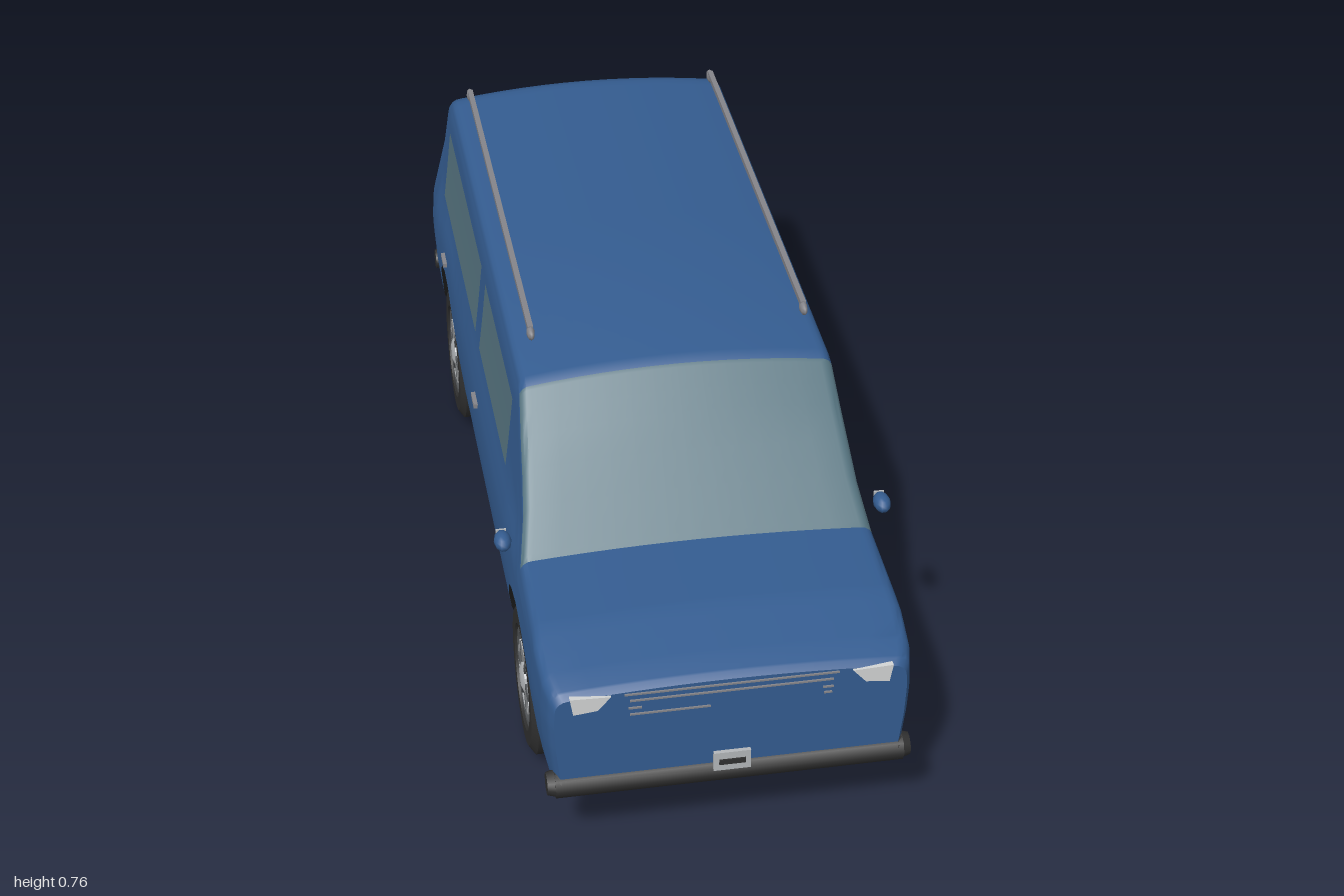
import * as THREE from 'three';
import { toCreasedNormals } from 'three/addons/utils/BufferGeometryUtils.js';

const mat = (name, color, extra = {}) => Object.assign(new THREE.MeshStandardMaterial({ color, ...extra }), { name });

// Piecewise linear lookup in a table of [key, value], keys ascending
function lerpTable(table, k) {
  if (k <= table[0][0]) return table[0][1];
  for (let i = 1; i < table.length; i++) {
    const [k0, v0] = table[i - 1], [k1, v1] = table[i];
    if (k <= k1) return v0 + (v1 - v0) * (k - k0) / (k1 - k0);
  }
  return table[table.length - 1][1];
}

// Body curves: half width by height; roof line, underside and end taper by z
const WIDTH = [[0.13, 0.327], [0.2, 0.342], [0.27, 0.35], [0.33, 0.353], [0.4, 0.349], [0.43, 0.342],
  [0.46, 0.332], [0.55, 0.321], [0.67, 0.308], [0.72, 0.3]];
const TOP = [[-0.93, 0.395], [-0.915, 0.415], [-0.87, 0.445], [-0.79, 0.695], [-0.775, 0.708], [-0.75, 0.715],
  [0.37, 0.715], [0.395, 0.707], [0.63, 0.458], [0.81, 0.448], [0.93, 0.422], [0.97, 0.41], [0.98, 0.4]];
const UNDER = [[-0.93, 0.18], [-0.89, 0.157], [-0.82, 0.15], [-0.775, 0.165], [-0.73, 0.21], [-0.69, 0.295], [-0.65, 0.332],
  [-0.6, 0.347], [-0.54, 0.345], [-0.48, 0.33], [-0.42, 0.295], [-0.37, 0.247], [-0.32, 0.2], [-0.27, 0.167], [-0.22, 0.145],
  [-0.155, 0.135], [0.37, 0.135], [0.4, 0.145], [0.43, 0.185], [0.46, 0.24], [0.51, 0.305], [0.56, 0.333], [0.62, 0.342],
  [0.69, 0.336], [0.755, 0.31], [0.8, 0.277], [0.84, 0.235], [0.88, 0.183], [0.92, 0.16], [0.955, 0.167], [0.98, 0.2]];
const TAPER = [[-0.93, 0.94], [-0.915, 0.965], [-0.87, 0.99], [-0.79, 1], [0.85, 1], [0.93, 0.985], [0.965, 0.96], [0.98, 0.935]];

const SIDE = 14, ARC = 4, CROWN = 6;

// Closed cross-section, from the lower left edge over the roof to the lower right edge
function section(z) {
  const yb = lerpTable(UNDER, z), yt = lerpTable(TOP, z), k = lerpTable(TAPER, z);
  const drop = yt > 0.6 ? 0.02 : 0.012, r = 0.025;
  const ys = yt - drop - r, xs = lerpTable(WIDTH, ys) * k;
  const half = [];
  for (let i = 0; i < SIDE; i++) {
    const y = yb + (ys - yb) * i / SIDE;
    half.push([lerpTable(WIDTH, y) * k, y]);
  }
  for (let i = 0; i < ARC; i++) {
    const a = i / ARC * Math.PI / 2;
    half.push([xs - r + r * Math.cos(a), ys + r * Math.sin(a)]);
  }
  for (let i = 0; i <= CROWN; i++) {
    const t = 1 - i / CROWN;
    half.push([(xs - r) * t, yt - drop * t * t]);
  }
  return [...half, ...half.slice(0, -1).reverse().map(([x, y]) => [-x, y])];
}

// Lofted shell with painted body, glass screens and dark floor as material groups
function bodyGeometry() {
  const keys = [...TOP, ...UNDER, ...TAPER].map(p => p[0]);
  const zs = [...new Set(keys)].sort((a, b) => b - a);
  const pos = [], paint = [], glass = [], floor = [];
  const n = section(0).length;
  zs.forEach(z => section(z).forEach(([x, y]) => pos.push(x, y, z)));
  for (let s = 0; s < zs.length - 1; s++) {
    const mid = (zs[s] + zs[s + 1]) / 2;
    const screen = (mid > 0.395 && mid < 0.63) || (mid > -0.87 && mid < -0.79);
    for (let i = 0; i < n; i++) {
      const j = (i + 1) % n, a = s * n + i, b = s * n + j, c = a + n, d = b + n;
      const upper = i >= SIDE + 1 && i < n - SIDE - 2;
      const list = i === n - 1 ? floor : screen && upper ? glass : paint;
      list.push(a, c, b, b, c, d);
    }
  }
  // End caps
  [[0, 1], [zs.length - 1, -1]].forEach(([s, dir]) => {
    const centre = pos.length / 3;
    pos.push(0, 0.3, zs[s]);
    for (let i = 0; i < n; i++) {
      const a = s * n + i, b = s * n + (i + 1) % n;
      paint.push(centre, ...(dir > 0 ? [a, b] : [b, a]));
    }
  });
  const g = new THREE.BufferGeometry();
  g.setAttribute('position', new THREE.Float32BufferAttribute(pos, 3));
  g.setIndex([...paint, ...glass, ...floor]);
  g.addGroup(0, paint.length, 0);
  g.addGroup(paint.length, glass.length, 1);
  g.addGroup(paint.length + glass.length, floor.length, 2);
  return toCreasedNormals(g, 0.6);
}

// Thin pane that follows the side of the body
function paneGeometry(z0, z1, y0, y1, side) {
  const g = new THREE.PlaneGeometry(1, 1, 1, 8), p = g.attributes.position;
  for (let i = 0; i < p.count; i++) {
    const y = y0 + (p.getY(i) + 0.5) * (y1 - y0);
    p.setXYZ(i, side * (lerpTable(WIDTH, y) + 0.004), y, z0 + (0.5 - side * p.getX(i)) * (z1 - z0));
  }
  g.computeVertexNormals();
  return g;
}

const lathe = (pts, segs = 32) =>
  toCreasedNormals(new THREE.LatheGeometry(pts.map(p => new THREE.Vector2(...p)), segs), 0.5);

export function createModel() {
  const paint = mat('blue paint', 0x345c90), glass = mat('window glass', 0x567480, { side: THREE.DoubleSide });
  const rubber = mat('black rubber', 0x303030), floor = mat('underbody', 0x262626);
  const chrome = mat('chrome', 0xb4b7ba), rim = mat('rim grey', 0x54575a), lamp = mat('lamp', 0xd2d4d4);
  const rail = mat('rail grey', 0x85858a);
  const car = new THREE.Group();
  car.name = 'car';

  function add(name, geo, material, x = 0, y = 0, z = 0, parent = car) {
    const m = new THREE.Mesh(geo, material);
    m.name = name;
    m.position.set(x, y, z);
    parent.add(m);
    return m;
  }
  const box = (name, w, h, d, material, x, y, z, parent) =>
    add(name, new THREE.BoxGeometry(w, h, d), material, x, y, z, parent);

  add('body', bodyGeometry(), [paint, glass, floor]);

  // Wheels: axis along x, outer face towards +x before turning
  const tyre = lathe([[0, -0.03], [0.1, -0.03], [0.105, -0.042], [0.135, -0.042], [0.153, -0.03],
    [0.153, 0.03], [0.135, 0.042], [0.106, 0.042], [0.1, 0.03], [0, 0.03]], 36);
  const disc = lathe([[0.1, 0.029], [0.098, 0.038], [0.088, 0.038], [0.082, 0.032], [0, 0.032]]);
  const hub = lathe([[0.034, 0.03], [0.031, 0.04], [0.018, 0.045], [0, 0.045]], 12);
  for (const side of [1, -1]) for (const [label, z] of [['front', 0.616], ['rear', -0.56]]) {
    const wheel = new THREE.Group();
    wheel.name = label + 'Wheel';
    wheel.position.set(side * 0.302, 0.154, z);
    wheel.rotation.y = side > 0 ? 0 : Math.PI;
    car.add(wheel);
    [['tyre', tyre, rubber], ['rim', disc, rim], ['hub', hub, chrome]].forEach(([name, g, m]) => {
      add(name, g, m, 0, 0, 0, wheel).rotation.z = -Math.PI / 2;
    });
    for (let i = 0; i < 6; i++) {
      const a = i * Math.PI / 3;
      const bar = box('rimSegment', 0.008, 0.008, 0.048, chrome, 0.035, Math.cos(a) * 0.066, Math.sin(a) * 0.066, wheel);
      bar.rotation.x = a;
      const b = a + Math.PI / 6;
      box('spoke', 0.008, 0.042, 0.012, rim, 0.036, Math.cos(b) * 0.05, Math.sin(b) * 0.05, wheel).rotation.x = b;
    }
  }

  // Cross members ahead of the rear wheels
  box('rearCrossMember', 0.52, 0.035, 0.05, floor, 0, 0.275, -0.44);
  box('rearCrossMember', 0.52, 0.03, 0.05, floor, 0, 0.315, -0.51);

  // Bumpers and number plates
  for (const [label, z, y, dir] of [['front', 0.966, 0.182, 1], ['rear', -0.92, 0.187, -1]]) {
    add(label + 'Bumper', new THREE.CylinderGeometry(0.027, 0.027, 0.66, 8), rubber, 0, y, z).rotation.z = Math.PI / 2;
    for (const s of [1, -1]) {
      const end = add(label + 'BumperEnd', new THREE.CylinderGeometry(0.022, 0.029, 0.025, 10), rubber, s * 0.332, y, z - dir * 0.003);
      end.rotation.z = -s * Math.PI / 2;
    }
    box(label + 'Plate', 0.07, 0.042, 0.008, chrome, 0, 0.217, z + dir * 0.026);
    box(label + 'PlateStrip', 0.05, 0.011, 0.004, rubber, 0, 0.217, z + dir * 0.031);
  }

  // Grille slats: centre x, y, length
  for (const [x, y, w] of [[0, 0.39, 0.4], [0, 0.375, 0.38], [-0.115, 0.343, 0.15],
    [-0.18, 0.358, 0.025], [0.18, 0.358, 0.02], [0.18, 0.345, 0.015]])
    box('grilleSlat', w, 0.0035, 0.006, rail, x, y, 0.98);

  for (const s of [1, -1]) {
    // Headlight wedge and tail lamp
    const shape = new THREE.Shape([[0.225, 0.392], [0.25, 0.363], [0.295, 0.358], [0.301, 0.395]].map(([x, y]) => new THREE.Vector2(s * x, y)));
    add('headlight', new THREE.ExtrudeGeometry(shape, { depth: 0.03, bevelEnabled: false }), lamp, 0, 0, 0.955);
    box('tailLamp', 0.03, 0.032, 0.03, lamp, s * 0.307, 0.372, -0.92);

    // Side windows
    add('frontSideWindow', paneGeometry(-0.072, 0.354, 0.477, 0.633, s), glass);
    add('rearSideWindow', paneGeometry(-0.715, -0.138, 0.477, 0.636, s), glass);

    // Door handles
    for (const z of [-0.015, -0.582]) box('doorHandle', 0.012, 0.01, 0.048, rail, s * 0.352, 0.386, z);

    // Mirrors
    const mirror = add('mirror', new THREE.SphereGeometry(0.017, 10, 8), paint, s * 0.37, 0.471, 0.59);
    mirror.scale.z = 1.6;
    box('mirrorGlass', 0.02, 0.018, 0.004, chrome, s * 0.37, 0.471, 0.565);

    // Roof rail with tapered ends
    box('roofRail', 0.011, 0.012, 0.98, rail, s * 0.27, 0.751, -0.195);
    for (const z of [0.295, -0.685])
      add('railEnd', new THREE.SphereGeometry(0.011, 8, 6), rail, s * 0.27, 0.743, z).scale.set(0.75, 1.2, 1.8);
  }

  // Spare wheel on the tail
  const spare = lathe([[0, -0.045], [0.11, -0.045], [0.127, -0.03], [0.127, 0.03], [0.115, 0.042], [0.1, 0.045], [0, 0.045]], 32);
  add('spareWheel', spare, rubber, 0, 0.436, -0.955).rotation.x = -Math.PI / 2;
  box('spareMount', 0.08, 0.08, 0.06, floor, 0, 0.37, -0.915);

  return car;
}
